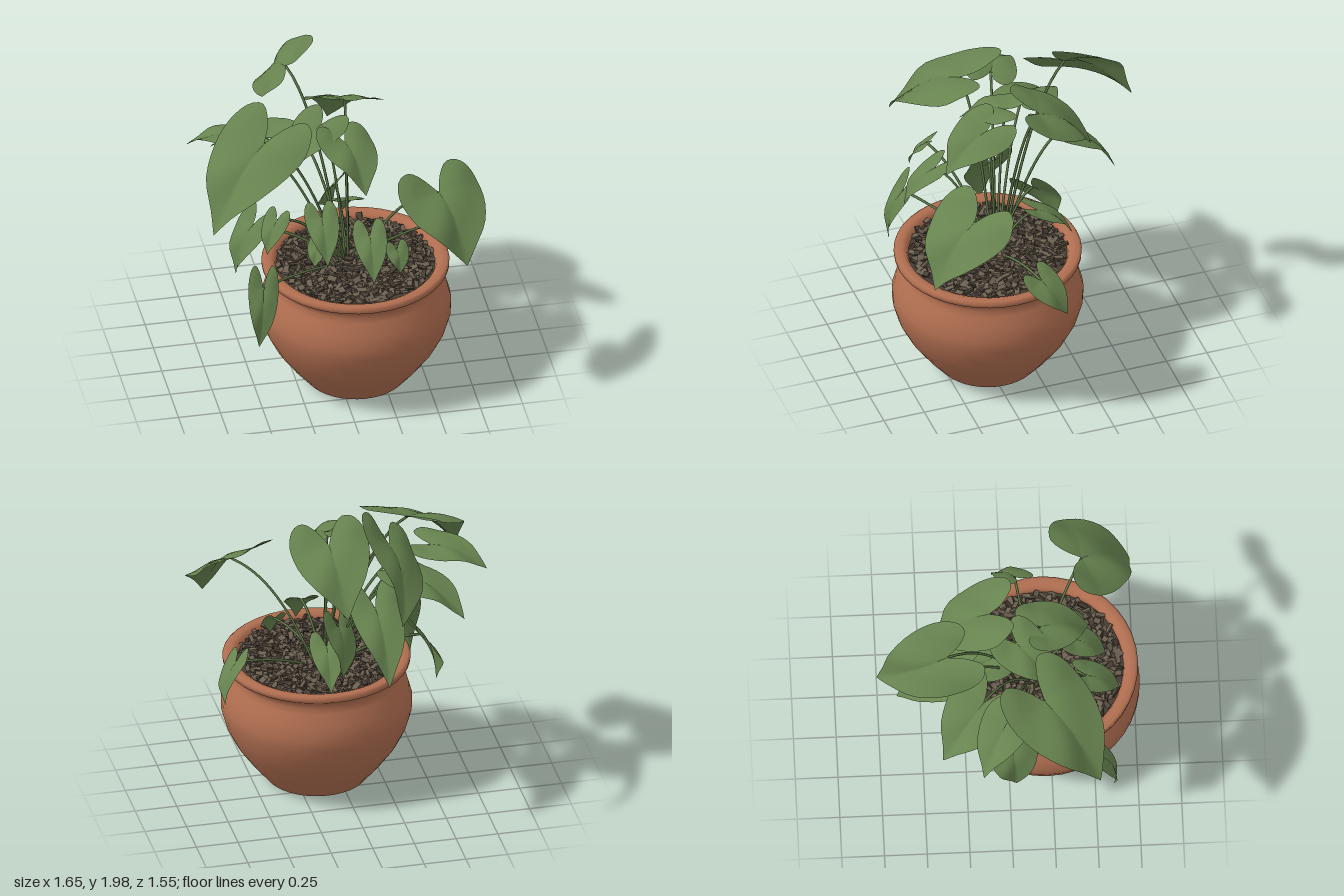
import * as THREE from 'three';
import { mergeGeometries } from 'three/addons/utils/BufferGeometryUtils.js';

const material = (name, color, side = THREE.FrontSide) => {
  const m = new THREE.MeshStandardMaterial({ color, side });
  m.name = name;
  return m;
};

// Seeded random numbers
let seed = 7;
const rand = () => {
  seed = (seed * 16807) % 2147483647;
  return seed / 2147483647;
};

// Half outline of a heart-shaped leaf: along the midrib, then across
const halfOutline = new THREE.CatmullRomCurve3(
  [[1, 0], [0.8, 0.28], [0.54, 0.68], [0.22, 0.95], [-0.06, 1], [-0.28, 0.84], [-0.35, 0.52], [-0.2, 0.2], [0, 0]]
    .map(([u, v]) => new THREE.Vector3(u, v, 0))
).getPoints(24);
const outline = [
  ...halfOutline,
  ...halfOutline.slice(1, -1).reverse().map((p) => new THREE.Vector3(p.x, -p.y, 0)),
];

// Curved leaf blade from stalk joint to tip, rolled about its midrib
function bladeGeometry(joint, tip, halfWidth, roll) {
  const dir = tip.clone().sub(joint);
  const length = dir.length();
  dir.normalize();
  const side = new THREE.Vector3(dir.z, 0, -dir.x).normalize().applyAxisAngle(dir, roll);
  const normal = dir.clone().cross(side);

  const rings = 5, n = outline.length, positions = [], indices = [];
  for (let r = 0; r <= rings; r++) {
    for (const p of outline) {
      const u = (p.x * r) / rings, v = (p.y * r) / rings;
      const lift = length * (u > 0 ? 0.45 : 0.22) * u * (1 - u)
        + halfWidth * (0.3 * Math.abs(v) - 0.3 * v * v + 0.04 * Math.sin(7 * u + 4 * v));
      const q = joint.clone().addScaledVector(dir, u * length)
        .addScaledVector(side, v * halfWidth).addScaledVector(normal, lift);
      positions.push(q.x, q.y, q.z);
    }
  }
  for (let r = 0; r < rings; r++) {
    for (let i = 0; i < n; i++) {
      const a = r * n + i, b = r * n + ((i + 1) % n), c = a + n, d = b + n;
      indices.push(a, c, b, b, c, d);
    }
  }
  const g = new THREE.BufferGeometry();
  g.setAttribute('position', new THREE.Float32BufferAttribute(positions, 3));
  g.setIndex(indices);
  g.computeVertexNormals();
  return g;
}

export function createModel() {
  const terracotta = material('terracotta', 0xb06e50);
  const leafGreen = material('leaf green', 0x67834f, THREE.DoubleSide);
  const stalkGreen = material('stalk green', 0x5d7647);
  const soilBrown = material('soil brown', 0x463d33);
  const barkBrown = material('bark brown', 0x6b5f50);
  const model = new THREE.Group();
  const addGroup = (name) => {
    const group = new THREE.Group();
    group.name = name;
    model.add(group);
    return group;
  };
  const addMesh = (name, geometry, mat, parent) => {
    const mesh = new THREE.Mesh(geometry, mat);
    mesh.name = name;
    parent.add(mesh);
  };

  // Pot: turned body with a rolled rim, and a flat base
  const pot = addGroup('pot');
  pot.position.set(0.11, 0, 0.22);
  const profile = [
    [0.3, 0], [0.39, 0.11], [0.475, 0.23], [0.53, 0.34], [0.558, 0.44], [0.56, 0.51], [0.538, 0.59],
    [0.5, 0.655], [0.487, 0.69], [0.494, 0.725], [0.525, 0.745], [0.548, 0.76], [0.55, 0.785],
    [0.535, 0.797], [0.5, 0.798], [0.475, 0.785], [0.465, 0.76], [0.465, 0.7],
  ].map(([r, y]) => new THREE.Vector2(r, y));
  addMesh('potBody', new THREE.LatheGeometry(profile, 40), terracotta, pot);
  addMesh('potBase', new THREE.CircleGeometry(0.3, 40).rotateX(Math.PI / 2), terracotta, pot);
  addMesh('soil', new THREE.CircleGeometry(0.47, 40).rotateX(-Math.PI / 2).translate(0, 0.755, 0), soilBrown, pot);

  // Bark chips scattered evenly over the soil, every fourth one dark
  const lightChips = [], darkChips = [];
  for (let i = 0; i < 560; i++) {
    const r = 0.45 * Math.sqrt((i + 0.5) / 560), a = i * 2.39996;
    const chip = new THREE.BoxGeometry(0.03 + 0.035 * rand(), 0.012, 0.018 + 0.02 * rand());
    chip.rotateX((rand() - 0.5) * 1.2).rotateZ((rand() - 0.5) * 1.2).rotateY(rand() * 6.28);
    chip.translate(r * Math.cos(a), 0.768 + 0.022 * rand(), r * Math.sin(a));
    (i % 4 === 0 ? darkChips : lightChips).push(chip);
  }
  addMesh('barkChips', mergeGeometries(lightChips), barkBrown, pot);
  addMesh('darkBarkChips', mergeGeometries(darkChips), soilBrown, pot);

  // Leaf on an arching stalk that leans out from the middle of the clump
  const addLeaf = (name, jointAt, tipAt, halfWidth, roll) => {
    const leaf = addGroup(name);
    const joint = new THREE.Vector3(...jointAt), tip = new THREE.Vector3(...tipAt);
    addMesh('blade', bladeGeometry(joint, tip, halfWidth, roll), leafGreen, leaf);
    const foot = new THREE.Vector3(0.07 + 0.12 * joint.x, 0.75, 0.14 + 0.12 * joint.z);
    const bend = foot.clone().lerp(joint, 0.45);
    bend.y = joint.y - 0.12 * (joint.y - foot.y);
    const path = new THREE.QuadraticBezierCurve3(foot, bend, joint);
    addMesh('stalk', new THREE.TubeGeometry(path, 16, 0.008, 6), stalkGreen, leaf);
  };

  // Tall leaves: joint, tip, half width, roll
  addLeaf('tallBackLeaf', [-0.19, 1.8, -0.36], [-0.17, 1.47, -0.77], 0.23, -0.78);
  addLeaf('upperBackLeaf', [0.11, 1.69, -0.1], [0.07, 1.36, -0.43], 0.23, 0.2);
  addLeaf('leftBackLeaf', [-0.35, 1.45, -0.15], [-0.63, 1.26, -0.4], 0.2, -0.1);
  addLeaf('leftLeaf', [-0.52, 1.57, -0.02], [-0.82, 1.45, -0.17], 0.15, 0.13);
  addLeaf('largeLeftLeaf', [-0.43, 1.65, 0.2], [-0.79, 1.25, 0.51], 0.27, -0.12);
  addLeaf('centreLeaf', [0.05, 1.6, 0.2], [0.12, 1.39, 0.48], 0.18, -0.2);
  addLeaf('upperCentreLeaf', [-0.06, 1.64, 0.05], [-0.27, 1.48, 0.26], 0.16, 0);
  addLeaf('lowerBackLeaf', [-0.12, 1.35, -0.3], [-0.125, 1.0, -0.65], 0.16, -0.1);
  addLeaf('largeRightLeaf', [0.56, 1.35, 0.46], [0.67, 1.0, 0.74], 0.27, -0.06);

  // Low leaves
  addLeaf('frontLeaf', [-0.14, 1.26, 0.46], [-0.14, 1.04, 0.65], 0.1, 0);
  addLeaf('lowFrontLeaf', [0.16, 1.06, 0.4], [0.15, 0.84, 0.58], 0.1, 0);
  addLeaf('smallRightLeaf', [0.63, 0.88, 0.07], [0.72, 0.67, -0.06], 0.1, 0.65);
  addLeaf('lowBackLeaf', [0.05, 1.12, -0.08], [0.06, 0.86, -0.22], 0.14, -0.8);
  addLeaf('youngBackLeaf', [0.12, 1.0, -0.08], [0.14, 0.8, -0.29], 0.1, 0);
  addLeaf('lowLeftLeaf', [-0.46, 0.96, 0.01], [-0.56, 0.64, 0.03], 0.15, 0);
  addLeaf('trailingLeaf', [-0.5, 0.86, 0.53], [-0.54, 0.5, 0.6], 0.09, -0.5);
  addLeaf('sideLeaf', [-0.4, 1.25, 0.42], [-0.47, 1.07, 0.5], 0.08, 0);
  addLeaf('youngLeaf', [0.32, 0.95, 0.41], [0.33, 0.82, 0.47], 0.07, 0);
  addLeaf('youngLeftLeaf', [-0.13, 0.96, 0.3], [-0.16, 0.85, 0.36], 0.06, 0);

  return model;
}
